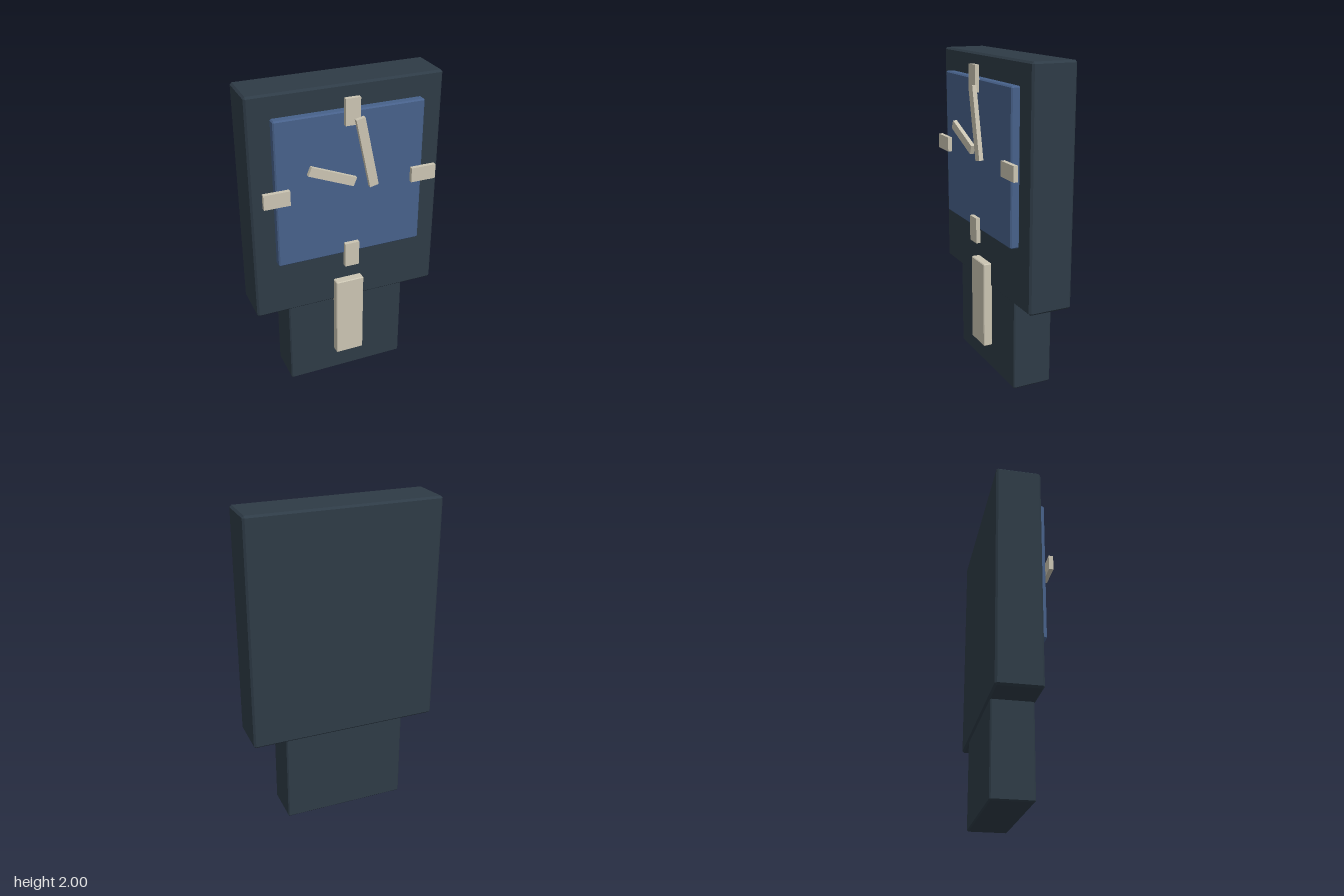
import * as THREE from 'three';
import { ConvexGeometry } from 'three/addons/geometries/ConvexGeometry.js';

// Box with flat chamfers along every edge
function chamferBox(w, h, d, c) {
  const points = [];
  for (const x of [-w / 2, w / 2])
    for (const y of [-h / 2, h / 2])
      for (const z of [-d / 2, d / 2]) {
        const sx = Math.sign(x) * c, sy = Math.sign(y) * c, sz = Math.sign(z) * c;
        points.push(
          new THREE.Vector3(x, y - sy, z - sz),
          new THREE.Vector3(x - sx, y, z - sz),
          new THREE.Vector3(x - sx, y - sy, z)
        );
      }
  return new ConvexGeometry(points);
}

export function createModel() {
  const group = new THREE.Group();
  group.name = 'wallClock';

  const slate = new THREE.MeshStandardMaterial({ color: 0x2e3b46 });
  slate.name = 'dark slate';
  const blue = new THREE.MeshStandardMaterial({ color: 0x47618a });
  blue.name = 'dial blue';
  const cream = new THREE.MeshStandardMaterial({ color: 0xcac4b2 });
  cream.name = 'cream';

  // Adds a box by centre (x, y), size (w, h) and depth range z0..z1
  function add(name, material, x, y, w, h, z0, z1, chamfer = 0, turn = 0) {
    const d = z1 - z0;
    const geometry = chamfer ? chamferBox(w, h, d, chamfer) : new THREE.BoxGeometry(w, h, d);
    const mesh = new THREE.Mesh(geometry, material);
    mesh.name = name;
    mesh.position.set(x, y, (z0 + z1) / 2);
    mesh.rotation.z = turn;
    group.add(mesh);
  }

  // Case, lower case and dial
  add('case', slate, 0, 1.284, 1.2, 1.432, -0.19, 0.085, 0.012);
  add('lowerCase', slate, 0, 0.3, 0.784, 0.6, -0.178, 0.075, 0.008);
  add('dial', blue, 0, 1.4, 0.924, 0.924, 0.08, 0.138, 0.008);

  // Hour markers at the four quarters
  const dialY = 1.398, reach = 0.464;
  for (const side of [-1, 1]) {
    const word = side > 0;
    add(word ? 'topMarker' : 'bottomMarker', cream, 0, dialY + side * reach, 0.092, 0.16, 0.137, 0.164);
    add(word ? 'leftMarker' : 'rightMarker', cream, side * reach, dialY, 0.16, 0.092, 0.137, 0.164);
  }

  // Hands
  add('hourHand', cream, -0.13, 1.492, 0.3, 0.056, 0.154, 0.18, 0, -0.39);
  add('minuteHand', cream, 0.081, 1.608, 0.056, 0.44, 0.163, 0.19, 0, 0.21);

  // Pendulum plate
  add('pendulum', cream, 0, 0.447, 0.184, 0.556, 0.077, 0.136, 0.005);

  return group;
}
